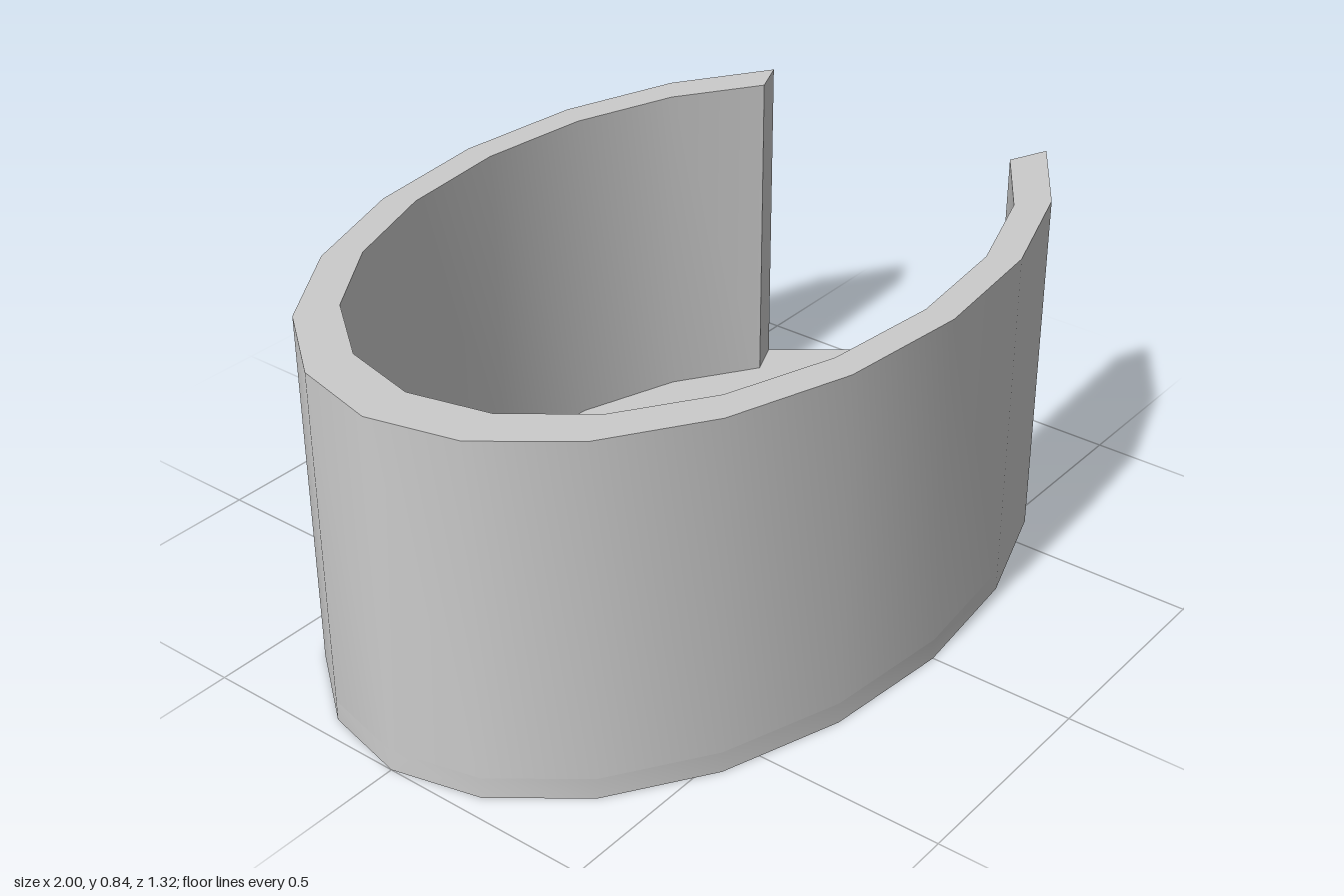
import * as THREE from 'three';
import { toCreasedNormals } from 'three/addons/utils/BufferGeometryUtils.js';

const SIDES = 20, HEIGHT = 0.84, FLOOR = 0.05;
const OUTER = [1, 0.66], INNER = [0.885, 0.592];

// Points on an ellipse from one side index to another
function arc([a, b], from, to) {
  const points = [];
  for (let i = from; i <= to; i++) {
    const t = (i / SIDES) * Math.PI * 2;
    points.push(new THREE.Vector2(a * Math.cos(t), b * Math.sin(t)));
  }
  return points;
}

// Upright prism with smooth sides and sharp rims
function prism(name, points, bottom, top, material) {
  const geometry = new THREE.ExtrudeGeometry(new THREE.Shape(points), {
    depth: top - bottom,
    bevelEnabled: false,
  });
  geometry.rotateX(-Math.PI / 2);
  geometry.translate(0, bottom, 0);
  const mesh = new THREE.Mesh(toCreasedNormals(geometry, 0.6), material);
  mesh.name = name;
  return mesh;
}

export function createModel() {
  const group = new THREE.Group();
  group.name = 'openOvalTray';
  const material = new THREE.MeshStandardMaterial({ color: 0xcccccc });

  // Full oval floor
  group.add(prism('floor', arc(OUTER, 0, SIDES - 1), 0, FLOOR, material));

  // Wall around the floor, open for four sides at the +x end
  const outline = [...arc(OUTER, 2, SIDES - 2), ...arc(INNER, 2, SIDES - 2).reverse()];
  group.add(prism('wall', outline, FLOOR, HEIGHT, material));

  return group;
}
